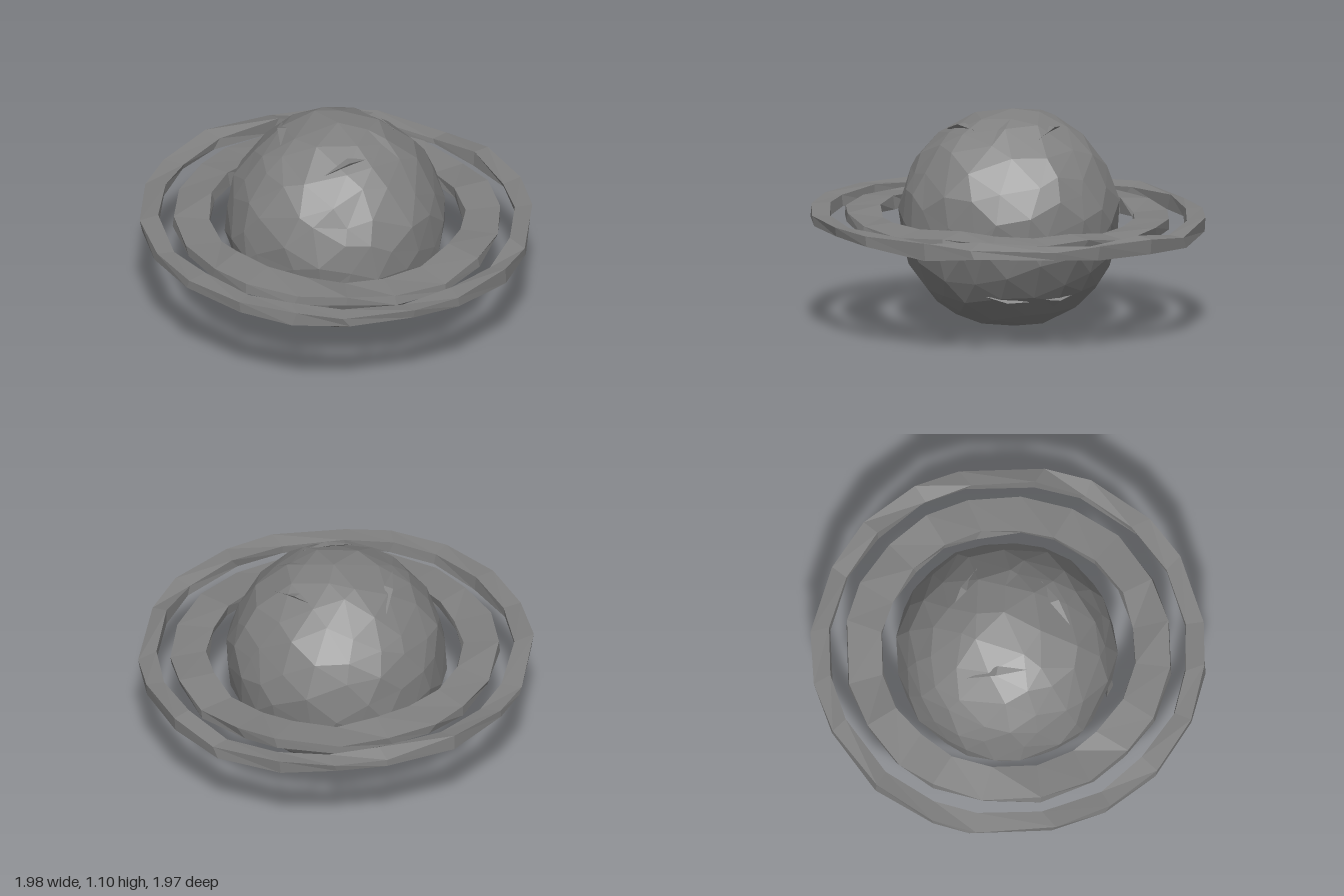
import * as THREE from 'three';
import { mergeVertices } from 'three/addons/utils/BufferGeometryUtils.js';
import { ConvexGeometry } from 'three/addons/geometries/ConvexGeometry.js';

const CENTRE = new THREE.Vector3(-0.006, 0.556, -0.01);
const RADIUS = 0.553;

// Small seeded generator giving values in -1..1
function seeded(seed) {
  let s = seed;
  return () => {
    s = (s * 16807) % 2147483647;
    return (s / 2147483647) * 2 - 1;
  };
}

function makeMesh(name, geo) {
  const material = new THREE.MeshStandardMaterial({ color: 0x808080, flatShading: true });
  const mesh = new THREE.Mesh(geo, material);
  mesh.name = name;
  return mesh;
}

// Rough faceted globe
function makeGlobe() {
  const rand = seeded(41);
  let geo = new THREE.IcosahedronGeometry(RADIUS, 3);
  geo.rotateX(0.3).rotateZ(0.2);
  geo.deleteAttribute('normal');
  geo.deleteAttribute('uv');
  geo = mergeVertices(geo, 1e-3);
  const pos = geo.attributes.position;
  const v = new THREE.Vector3();
  for (let i = 0; i < pos.count; i++) {
    v.fromBufferAttribute(pos, i);
    v.x += rand() * 0.04;
    v.y += rand() * 0.04;
    v.z += rand() * 0.04;
    v.setLength(RADIUS + rand() * 0.009);
    pos.setXYZ(i, v.x, v.y, v.z);
  }
  geo.computeVertexNormals();
  return makeMesh('globe', geo);
}

// Thin wedge of broken rock: a raised ledge between two points on the globe
function makeLedge(from, to) {
  const a = new THREE.Vector3(...from).setLength(RADIUS - 0.004);
  const b = new THREE.Vector3(...to).setLength(RADIUS - 0.004);
  const middle = a.clone().add(b).setLength(RADIUS + 0.012);
  const back = middle.clone();
  back.y += Math.sign(back.y) * 0.1;
  back.setLength(RADIUS - 0.006);
  return makeMesh('ledge', new ConvexGeometry([a, b, middle, back]));
}

function makePlanet() {
  const planet = new THREE.Group();
  planet.name = 'planet';
  planet.position.copy(CENTRE);
  planet.add(makeGlobe());
  const ledges = [
    [[-0.08, 0.45, 0.31], [0.17, 0.48, 0.21]],
    [[-0.28, 0.47, 0.05], [-0.25, 0.42, -0.25]],
    [[0.08, 0.47, -0.27], [0.31, 0.45, -0.09]],
    [[0.4, -0.33, 0.2], [0.42, -0.36, -0.03]],
    [[0.4, -0.34, -0.1], [0.35, -0.34, -0.25]],
    [[-0.3, -0.08, 0.45], [-0.13, -0.18, 0.5]],
  ];
  for (const [from, to] of ledges) planet.add(makeLedge(from, to));
  return planet;
}

// Uneven ring: a four-cornered section swept around the planet
function makeRing(name, inner, outer, thickness, sides, seed) {
  const rand = seeded(seed);
  const section = [
    [inner, -0.5], [outer, -0.5], [outer, 0.5], [inner, 0.5],
  ];
  const points = [];
  const index = [];
  for (let i = 0; i < sides; i++) {
    const turn = i + rand() * 0.15;
    const lift = rand() * 0.012;
    for (const [r, h] of section) {
      const a = ((turn + rand() * 0.1) / sides) * Math.PI * 2;
      const radius = r + rand() * 0.009;
      const x = Math.cos(a) * radius;
      const z = Math.sin(a) * radius;
      // Slight overall tilt plus local unevenness
      const y = CENTRE.y + 0.004 - 0.024 * x + 0.012 * z + lift
        + h * thickness + rand() * 0.018;
      points.push(x, y, z);
    }
    const next = (i + 1) % sides;
    for (let j = 0; j < 4; j++) {
      const k = (j + 1) % 4;
      const p = i * 4 + j, q = i * 4 + k;
      const s = next * 4 + j, t = next * 4 + k;
      index.push(p, q, t, p, t, s);
    }
  }
  const geo = new THREE.BufferGeometry();
  geo.setAttribute('position', new THREE.Float32BufferAttribute(points, 3));
  geo.setIndex(index);
  geo.computeVertexNormals();
  return makeMesh(name, geo);
}

export function createModel() {
  const model = new THREE.Group();
  model.name = 'ringedPlanet';
  model.add(
    makePlanet(),
    makeRing('innerRing', 0.638, 0.816, 0.05, 20, 77),
    makeRing('outerRing', 0.895, 0.988, 0.056, 20, 1234),
  );
  return model;
}
